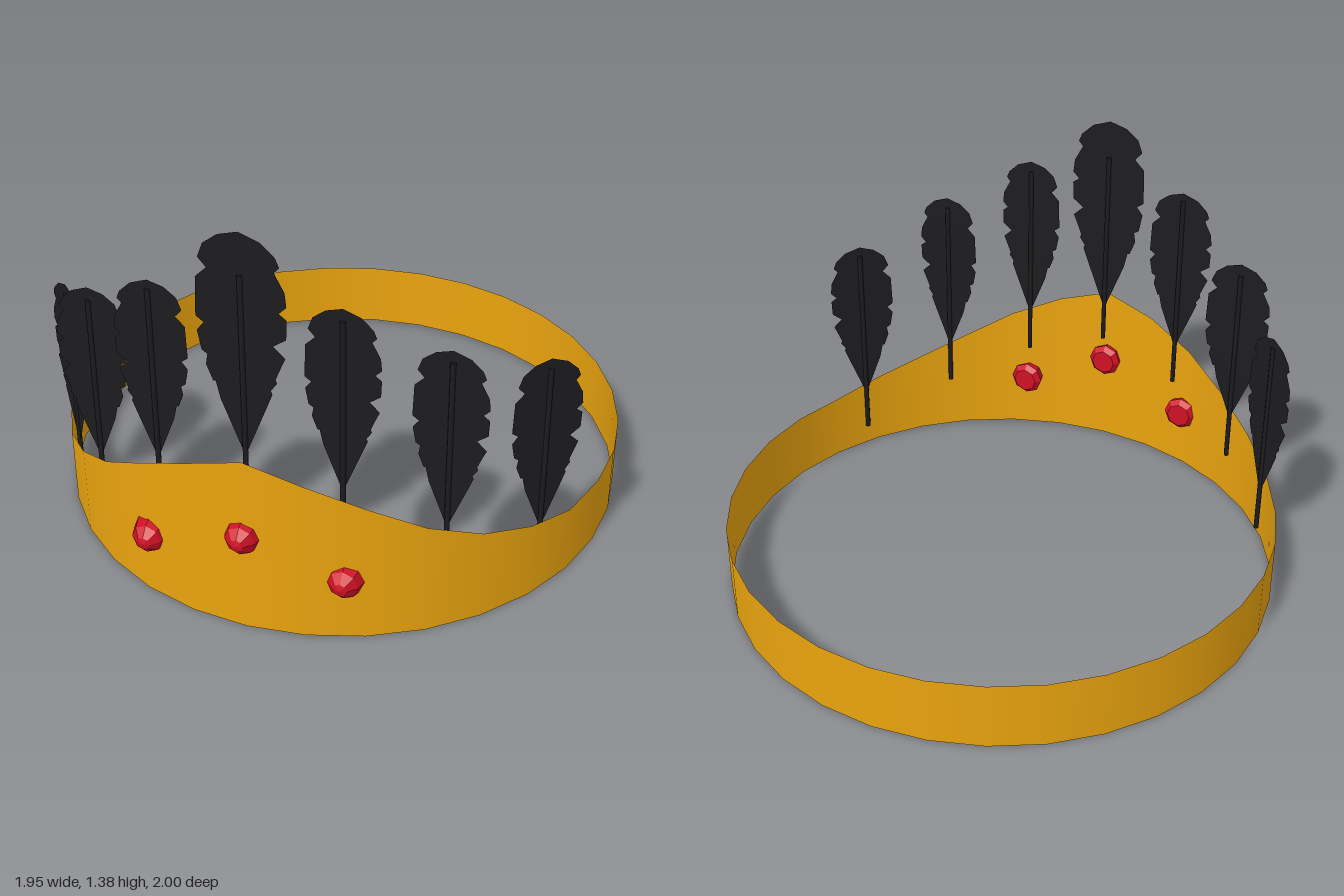
import * as THREE from 'three';

const gold = new THREE.MeshStandardMaterial({ color: 0xeaa40e, side: THREE.DoubleSide });
const black = new THREE.MeshStandardMaterial({ color: 0x1c1c1f, side: THREE.DoubleSide });
const red = new THREE.MeshStandardMaterial({ color: 0xd01024, flatShading: true });

// Open band whose upper rim rises in steps towards a peak at the front
function makeBand() {
  const sides = 32, low = 0.245;
  const rim = [0.64, 0.58, 0.5, 0.405, 0.33, 0.28];
  const geo = new THREE.CylinderGeometry(0.975, 0.975, low, sides, 1, true);
  geo.translate(0, low / 2, 0);
  const pos = geo.attributes.position;
  for (let i = 0; i < pos.count; i++) {
    if (pos.getY(i) < 0.01) continue;
    const angle = Math.abs(Math.atan2(pos.getX(i), pos.getZ(i)));
    const step = Math.round(angle / (Math.PI * 2 / sides));
    pos.setY(i, rim[step] ?? low);
  }
  const band = new THREE.Mesh(geo, gold);
  band.name = 'band';
  band.position.z = -0.025;
  return band;
}

// Flat vane outline with notched edges, from its foot (y = 0) to its tip (y = 0.62)
function makeVaneGeometry() {
  const right = [
    [0.008, 0], [0.035, 0.07], [0.062, 0.14], [0.077, 0.18], [0.073, 0.19], [0.09, 0.215],
    [0.086, 0.225], [0.104, 0.27], [0.113, 0.29], [0.082, 0.32], [0.116, 0.345],
    [0.118, 0.4], [0.098, 0.415], [0.118, 0.435], [0.114, 0.475], [0.088, 0.525],
    [0.102, 0.54], [0.092, 0.565], [0.055, 0.6],
  ];
  const left = [
    [-0.053, 0.605], [-0.092, 0.575], [-0.107, 0.535], [-0.085, 0.51], [-0.115, 0.48],
    [-0.119, 0.37], [-0.098, 0.355], [-0.117, 0.33], [-0.107, 0.275], [-0.092, 0.265],
    [-0.097, 0.235], [-0.08, 0.19], [-0.073, 0.19], [-0.062, 0.14], [-0.035, 0.07], [-0.008, 0],
  ];
  const outline = [...right, [0, 0.62], ...left].map(([x, y]) => new THREE.Vector2(x, y));
  return new THREE.ShapeGeometry(new THREE.Shape(outline));
}

// Domed faceted gem with a flat back, pointing to +z
function makeGemGeometry() {
  const profile = [[0, 0], [0.045, 0], [0.063, 0.02], [0.05, 0.065], [0.022, 0.092], [0, 0.098]]
    .map(([x, y]) => new THREE.Vector2(x, y));
  const geo = new THREE.LatheGeometry(profile, 8);
  geo.rotateX(Math.PI / 2);
  geo.scale(1, 1.03, 1);
  return geo;
}

export function createModel() {
  const model = new THREE.Group();
  model.name = 'featherCrown';
  model.add(makeBand());

  // Feathers: x, z, tip height, quill top, vane scale, turn about y
  const vaneGeo = makeVaneGeometry();
  const quillLength = 0.76;
  const quillGeo = new THREE.CylinderGeometry(0.009, 0.009, quillLength, 8);
  const feathers = [
    [-0.8, 0.485, 0.855, 0.82, 1, -0.66],
    [-0.6, 0.705, 1.0, 0.955, 1, 0],
    [-0.318, 0.855, 1.16, 1.13, 1, 0],
    [-0.015, 0.875, 1.38, 1.24, 1.2, 0],
    [0.29, 0.855, 1.175, 1.135, 1, 0],
    [0.585, 0.73, 1.02, 0.98, 1, 0],
    [0.825, 0.46, 0.88, 0.845, 1, 0.66],
  ];
  for (const [x, z, tip, quillTop, scale, turn] of feathers) {
    const feather = new THREE.Group();
    feather.name = 'feather';
    feather.position.set(x, 0, z);
    feather.rotation.y = turn;
    const vane = new THREE.Mesh(vaneGeo, black);
    vane.name = 'featherVane';
    vane.position.y = tip - 0.62 * scale;
    vane.scale.set(x < -0.1 ? -scale : scale, scale, 1);
    const quill = new THREE.Mesh(quillGeo, black);
    quill.name = 'featherQuill';
    quill.position.y = quillTop - quillLength / 2;
    feather.add(vane, quill);
    model.add(feather);
  }

  // Three gems set through the front of the band
  const gemGeo = makeGemGeometry();
  for (const [x, y, z] of [[-0.355, 0.228, 0.842], [-0.008, 0.353, 0.902], [0.308, 0.22, 0.848]]) {
    const gem = new THREE.Mesh(gemGeo, red);
    gem.name = 'gem';
    gem.position.set(x, y, z);
    model.add(gem);
  }
  return model;
}
